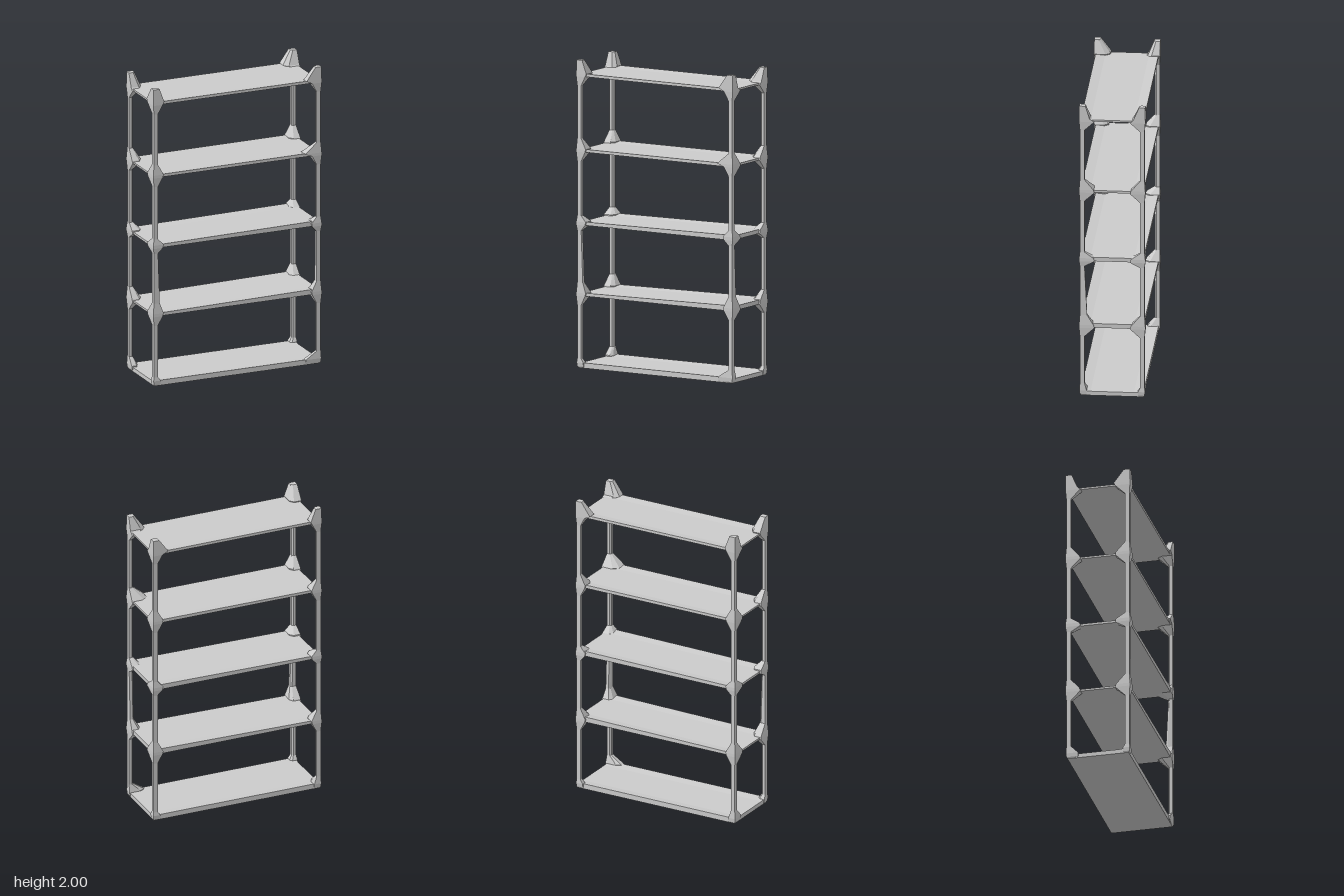
import * as THREE from 'three';

const material = new THREE.MeshStandardMaterial({ color: 0xcccccc, flatShading: true, side: THREE.DoubleSide });

// Shelf levels: underside, top edge, and how far the top edge rises towards +x
const SHELVES = [
  { y0: 0, y1: 0.035, rise: 0 },
  { y0: 0.468, y1: 0.488, rise: 0.016 },
  { y0: 0.928, y1: 0.95, rise: 0.012 },
  { y0: 1.403, y1: 1.422, rise: 0.003 },
  { y0: 1.893, y1: 1.912, rise: 0 },
];

// Inner faces of a plain post
const POST_X = 0.557, POST_Z = 0.178;

// Stacks equal-length rings of points into a closed, capped solid
function loft(rings, flip) {
  const n = rings[0].length, index = [];
  const tri = (a, b, c) => (flip ? index.push(a, c, b) : index.push(a, b, c));
  for (let r = 0; r < rings.length - 1; r++) {
    for (let i = 0; i < n; i++) {
      const a = r * n + i, b = r * n + (i + 1) % n;
      tri(a, a + n, b);
      tri(b, a + n, b + n);
    }
  }
  const top = (rings.length - 1) * n;
  for (let i = 1; i < n - 1; i++) {
    tri(0, i, i + 1);
    tri(top, top + i + 1, top + i);
  }
  const geometry = new THREE.BufferGeometry();
  geometry.setAttribute('position', new THREE.Float32BufferAttribute(rings.flat(2), 3));
  geometry.setIndex(index);
  const flat = geometry.toNonIndexed();
  flat.computeVertexNormals();
  return flat;
}

// Horizontal post section: square outside, chamfered on the inner corner
function section(sx, sz, y, ix = POST_X, iz = POST_Z, outer = 0) {
  const ox = 0.586 + outer, oz = 0.208 + outer;
  const mx = ix + (ox - ix) * 0.3, mz = iz + (oz - iz) * 0.3;
  return [[ox, oz], [ix, oz], [ix, mz], [mx, iz], [ox, iz]].map(([x, z]) => [x * sx, y, z * sz]);
}

// Corner post whose section swells into a gusset at every shelf
function post(sx, sz) {
  const rings = [];
  const frontRight = sx > 0 && sz > 0;
  const same = sx === sz;
  SHELVES.forEach(({ y0, y1 }, i) => {
    if (i === 0) {
      // Foot: only two opposite corners have a larger gusset
      const ix = frontRight ? 0.48 : 0.54, iz = same && sx < 0 ? 0.13 : 0.165;
      rings.push(section(sx, sz, y0, 0.55, 0.17, -0.006), section(sx, sz, 0.01, ix, iz, 0));
      rings.push(section(sx, sz, y1, ix, iz, 0.003), section(sx, sz, same ? 0.085 : 0.06));
      return;
    }
    rings.push(section(sx, sz, y0 - (i === 2 ? 0.035 : 0.06)));
    rings.push(section(sx, sz, y0, 0.525, 0.115, 0.005));
    const last = i === SHELVES.length - 1;
    if (last) {
      // Finial standing on the top shelf
      const ix = sx > 0 ? 0.485 : 0.515, iz = sz < 0 ? 0.135 : sx < 0 ? 0.105 : 0.145;
      rings.push(section(sx, sz, y1, ix, iz, 0.005), section(sx, sz, 2, 0.548, 0.172, 0.004));
      return;
    }
    const ix = frontRight && i === 3 ? 0.475 : 0.52;
    rings.push(section(sx, sz, y1, ix, 0.12, 0.005));
    // One front post stays thick above the second shelf
    const iz = frontRight && i === 1 ? 0.162 : POST_Z;
    const leftThick = sx < 0 && sz > 0 && i === 1;
    rings.push(section(sx, sz, y1 + (i === 2 ? 0.04 : 0.068), leftThick ? 0.545 : POST_X, iz));
  });
  return loft(rings, sx * sz < 0);
}

// Shelf board: thin slab with a shallow dished top
function shelf({ y0, y1, rise }) {
  const profile = new THREE.Shape();
  const dip = 0.007;
  [[-0.202, y0], [0.202, y0], [0.202, y1], [0.14, y1 - dip], [-0.14, y1 - dip], [-0.202, y1]]
    .forEach(([z, y], i) => (i ? profile.lineTo(z, y) : profile.moveTo(z, y)));
  const geometry = new THREE.ExtrudeGeometry(profile, { depth: 1.164, bevelEnabled: false });
  geometry.translate(0, 0, -0.582).rotateY(Math.PI / 2);
  // Raise the top surface gradually towards +x
  const p = geometry.attributes.position;
  for (let i = 0; i < p.count; i++) {
    if (p.getY(i) > y0 + 0.005) p.setY(i, p.getY(i) + rise * (p.getX(i) + 0.582) / 1.164);
  }
  geometry.computeVertexNormals();
  return geometry;
}

export function createModel() {
  const model = new THREE.Group();
  model.name = 'shelvingUnit';
  const add = (name, geometry) => {
    const mesh = new THREE.Mesh(geometry, material);
    mesh.name = name;
    model.add(mesh);
  };

  // Five shelves
  SHELVES.forEach((level, i) => add(`shelf${i + 1}`, shelf(level)));

  // Four corner posts
  for (const sx of [-1, 1]) {
    for (const sz of [-1, 1]) {
      add(`${sz > 0 ? 'front' : 'back'}${sx > 0 ? 'Left' : 'Right'}Post`, post(sx, sz));
    }
  }
  return model;
}
